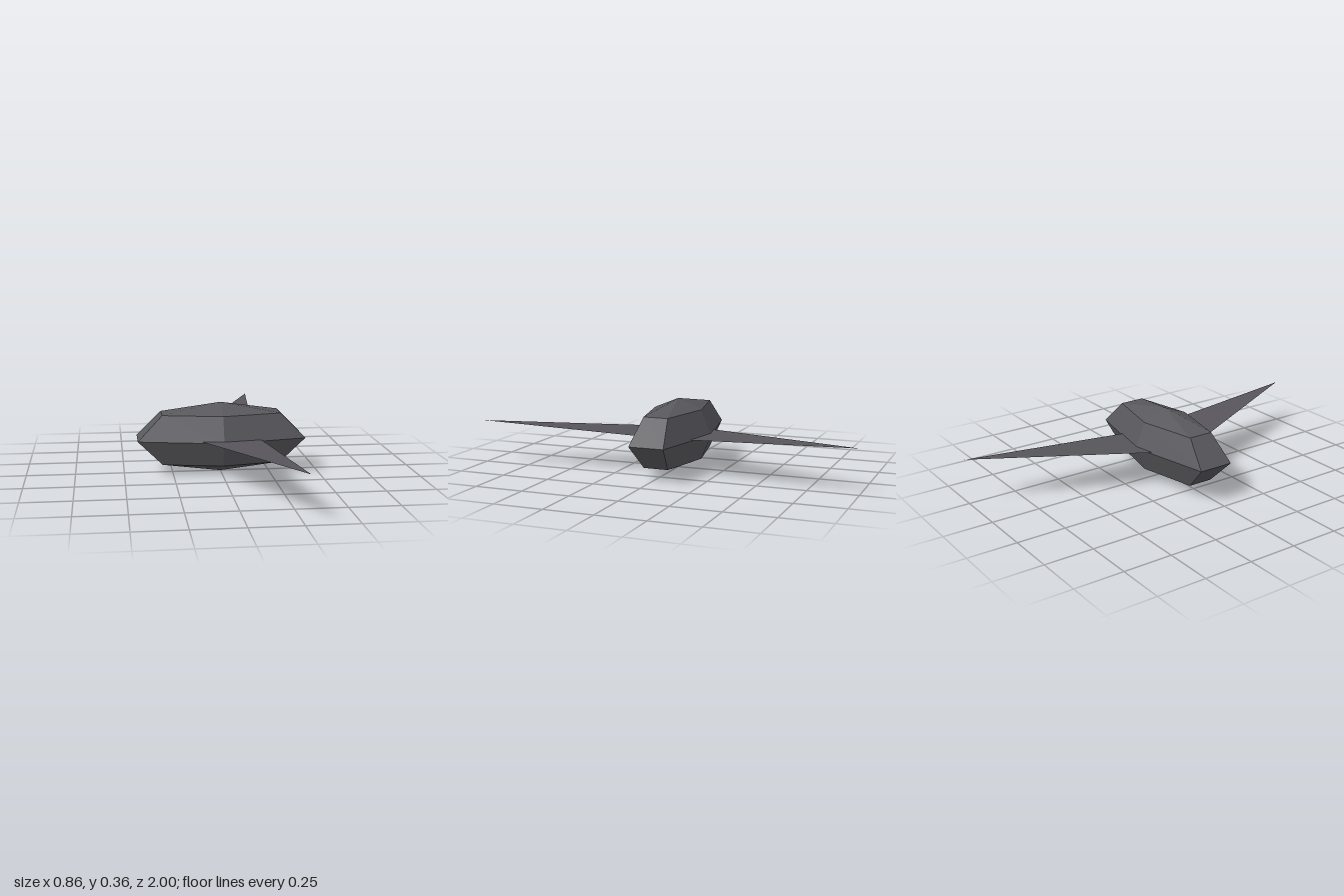
import * as THREE from 'three';

const R = 0.1815; // hull radius, also the height of its centre

export function createModel() {
  const model = new THREE.Group();
  const hullGrey = new THREE.MeshStandardMaterial({ color: 0x58585d, flatShading: true });
  hullGrey.name = 'hullGrey';
  const wingGrey = new THREE.MeshStandardMaterial({ color: 0x57555b, flatShading: true, side: THREE.DoubleSide });
  wingGrey.name = 'wingGrey';

  // Hull: six-sided faceted sphere stretched along x, with corners on the z axis
  const hullShape = new THREE.SphereGeometry(R, 6, 4, Math.PI / 6);
  hullShape.scale(2.74, 1, 1);
  const hull = new THREE.Mesh(hullShape, hullGrey);
  hull.name = 'hull';
  hull.position.y = R;
  model.add(hull);

  // Wings: thin swept triangles rising slightly from the hull centre to the tips
  for (const side of [1, -1]) {
    const shape = new THREE.BufferGeometry().setFromPoints([
      new THREE.Vector3(-R * side, 0, 0),
      new THREE.Vector3(0.271, 0.045, side),
      new THREE.Vector3(R * side, 0, 0),
    ]);
    // Keep the top side as the front face on both wings
    if (side < 0) {
      shape.setFromPoints([
        new THREE.Vector3(-R, 0, 0),
        new THREE.Vector3(R, 0, 0),
        new THREE.Vector3(0.271, 0.045, -1),
      ]);
    }
    shape.computeVertexNormals();
    const wing = new THREE.Mesh(shape, wingGrey);
    wing.name = side > 0 ? 'frontWing' : 'backWing';
    wing.position.y = R;
    model.add(wing);
  }
  return model;
}
